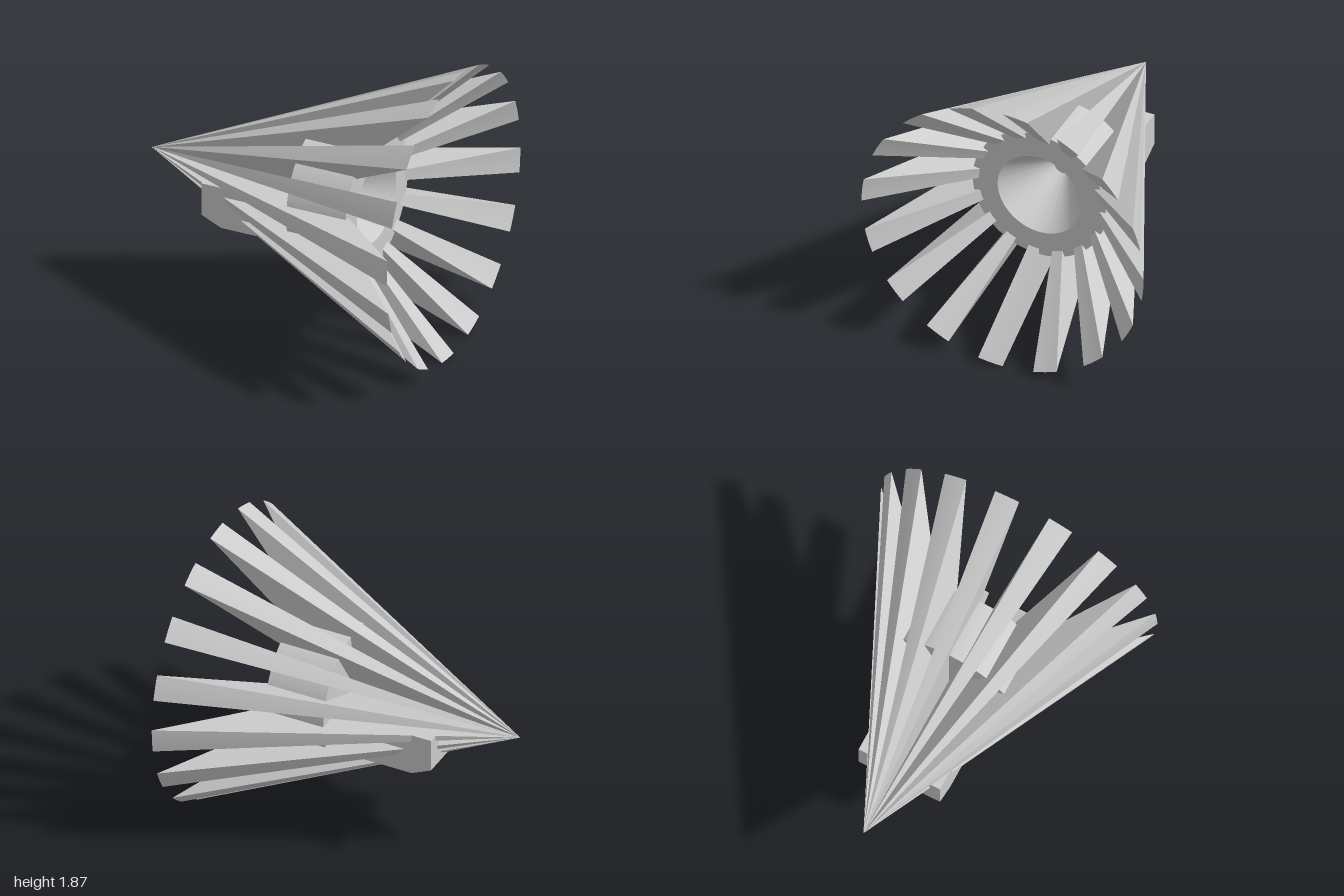
import * as THREE from 'three';
import { toCreasedNormals } from 'three/addons/utils/BufferGeometryUtils.js';

const R = 0.935;          // rim radius, also the height of the axis
const BLADES = 16;
const WIDTH = THREE.MathUtils.degToRad(10);

// Wedge-shaped blade: nose point, hub point on the axis, and an arc on the rim
function bladeGeometry(segments = 4) {
  const nose = [-1, 0, 0], hub = [0.11, 0, 0];
  const rim = i => {
    const a = (i / segments) * WIDTH;
    return [1, R * Math.cos(a), -R * Math.sin(a)];
  };
  const pos = [];
  const tri = (...corners) => corners.forEach(c => pos.push(...c));
  for (let i = 0; i < segments; i++) {
    tri(nose, rim(i), rim(i + 1));
    tri(hub, rim(i + 1), rim(i));
  }
  tri(nose, hub, rim(0));
  tri(nose, rim(segments), hub);
  const g = new THREE.BufferGeometry();
  g.setAttribute('position', new THREE.Float32BufferAttribute(pos, 3));
  return toCreasedNormals(g, 0.5);
}

export function createModel() {
  const model = new THREE.Group();
  const grey = new THREE.MeshStandardMaterial({ color: 0xcccccc });
  const add = (name, geometry, parent) => {
    const mesh = new THREE.Mesh(geometry, grey);
    mesh.name = name;
    parent.add(mesh);
    return mesh;
  };

  const body = new THREE.Group();
  body.name = 'body';
  body.position.y = R;
  model.add(body);

  // Cone of separate blades
  const blades = new THREE.Group();
  blades.name = 'blades';
  body.add(blades);
  const blade = bladeGeometry();
  for (let k = 0; k < BLADES; k++) {
    add('blade', blade, blades).rotation.x = -k * 2 * Math.PI / BLADES;
  }

  // Drum holding the blades, with a funnel sunk into its open end
  const profile = [[0, 0.1], [0.44, 0.1], [0.44, 0.49], [0.275, 0.49], [0.055, 0.162], [0, 0.162]]
    .map(p => new THREE.Vector2(...p));
  const drum = toCreasedNormals(new THREE.LatheGeometry(profile, 64), 0.5);
  add('funnelDrum', drum, body).rotation.z = -Math.PI / 2;

  // Block under the nose, its lower edge following the slope of the cone
  const side = new THREE.Shape([[-0.54, 0], [-0.54, -0.215], [-0.41, -0.275], [0.1, -0.275], [0.1, 0]]
    .map(p => new THREE.Vector2(...p)));
  const block = new THREE.ExtrudeGeometry(side, { depth: 0.55, bevelEnabled: false });
  block.translate(0, 0, -0.275);
  add('undersideBlock', block, body);

  return model;
}
